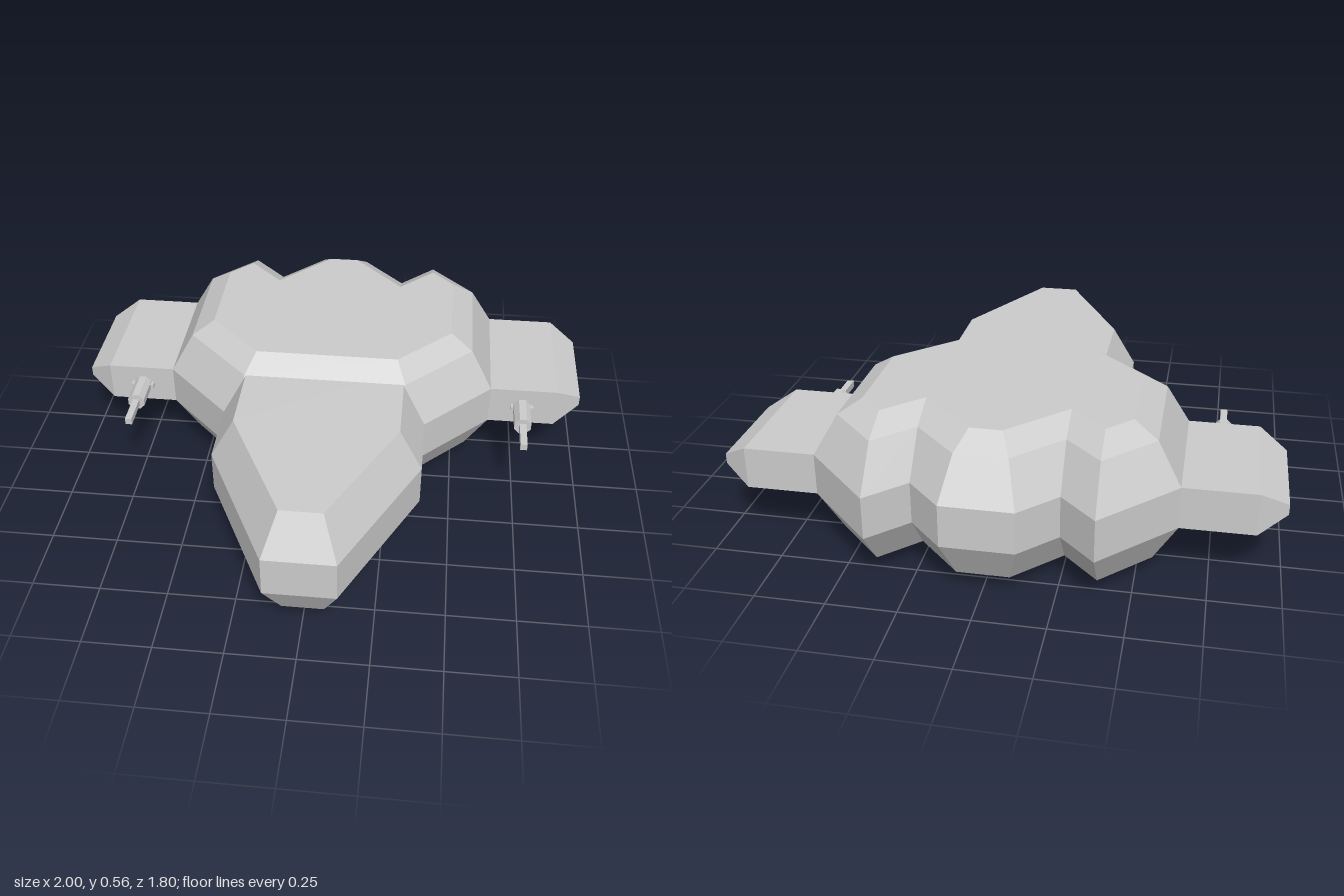
import * as THREE from 'three';

const material = new THREE.MeshStandardMaterial({ color: 0xcccccc, flatShading: true });
const MID_Y = 0.2825;

// Insets an outline of [x, z] points by d, with mitred corners
function inset(points, d) {
  const n = points.length;
  const normal = (a, b) => {
    const dx = b[0] - a[0], dz = b[1] - a[1], l = Math.hypot(dx, dz);
    return [dz / l, -dx / l];
  };
  return points.map((p, i) => {
    const a = normal(points[(i + n - 1) % n], p);
    const b = normal(p, points[(i + 1) % n]);
    const k = d / (1 + a[0] * b[0] + a[1] * b[1]);
    return [p[0] + (a[0] + b[0]) * k, p[1] + (a[1] + b[1]) * k];
  });
}

// Closed solid from stacked layers { y, loop }, loops running front, right, back, left
function stack(name, layers) {
  const pos = [];
  const put = (layer, i) => pos.push(layer.loop[i][0], layer.y, layer.loop[i][1]);
  const n = layers[0].loop.length;
  for (let k = 0; k < layers.length - 1; k++) {
    const lo = layers[k], hi = layers[k + 1];
    for (let i = 0; i < n; i++) {
      const j = (i + 1) % n;
      put(lo, i); put(lo, j); put(hi, j);
      put(lo, i); put(hi, j); put(hi, i);
    }
  }
  const cap = (layer, flip) => {
    const contour = layer.loop.map(([x, z]) => new THREE.Vector2(x, -z));
    for (const f of THREE.ShapeUtils.triangulateShape(contour, [])) {
      (flip ? [f[2], f[1], f[0]] : f).forEach((i) => put(layer, i));
    }
  };
  cap(layers[0], true);
  cap(layers[layers.length - 1], false);
  const geometry = new THREE.BufferGeometry();
  geometry.setAttribute('position', new THREE.Float32BufferAttribute(pos, 3));
  geometry.computeVertexNormals();
  const mesh = new THREE.Mesh(geometry, material);
  mesh.name = name;
  return mesh;
}

// Completes a right half outline with its mirror image
const mirrored = (half) => [...half, ...half.map(([x, z]) => [-x, z]).reverse()];

// Bevelled hull: [y, inset] pairs over one outline
const hull = (name, outline, levels) =>
  stack(name, levels.map(([y, d]) => ({ y, loop: inset(outline, d) })));

function createWing(side) {
  const rect = (h, front, back) => [[h, front], [h, back], [-h, back], [-h, front]];
  const wing = stack(side > 0 ? 'leftWing' : 'rightWing', [
    { y: 0.5, loop: rect(0.078, -0.13, -0.64) },
    { y: 0.9, loop: rect(0.078, -0.13, -0.64) },
    { y: 1.0, loop: rect(0.019, -0.19, -0.585) },
  ]);
  wing.rotation.z = -side * Math.PI / 2;
  wing.position.y = MID_Y;
  return wing;
}

function createGun(side) {
  const gun = new THREE.Group();
  gun.name = side > 0 ? 'leftGun' : 'rightGun';
  const add = (name, geometry, z) => {
    const mesh = new THREE.Mesh(geometry, material);
    mesh.name = name;
    mesh.position.z = z;
    gun.add(mesh);
  };
  const housing = new THREE.CylinderGeometry(0.035, 0.035, 0.14, 8);
  housing.rotateY(Math.PI / 8).rotateX(Math.PI / 2);
  add('gunHousing', housing, -0.07);
  add('gunMount', new THREE.BoxGeometry(0.09, 0.018, 0.03), -0.123);
  add('gunBarrel', new THREE.BoxGeometry(0.026, 0.026, 0.14), 0.058);
  gun.position.set(side * 0.768, MID_Y, 0);
  return gun;
}

export function createModel() {
  const model = new THREE.Group();
  model.name = 'spacecraft';

  // Main body with three lobes at the back
  const body = mirrored([
    [0.34, 0.17], [0.64, -0.13], [0.64, -0.64],
    [0.385, -0.9], [0.255, -0.77], [0.128, -0.9],
  ]);
  model.add(hull('body', body, [
    [0, 0.17], [0.055, 0.085], [0.205, 0], [0.36, 0], [0.51, 0.085], [0.565, 0.17],
  ]));

  // Tapered nose, its rear end buried in the body
  const nose = mirrored([[0.128, 0.9], [0.385, 0.385], [0.385, -0.1]]);
  model.add(hull('nose', nose, [
    [0.055, 0.085], [0.205, 0], [0.36, 0], [0.51, 0.085],
  ]));

  // Stub wings and their guns
  for (const side of [-1, 1]) model.add(createWing(side), createGun(side));
  return model;
}
